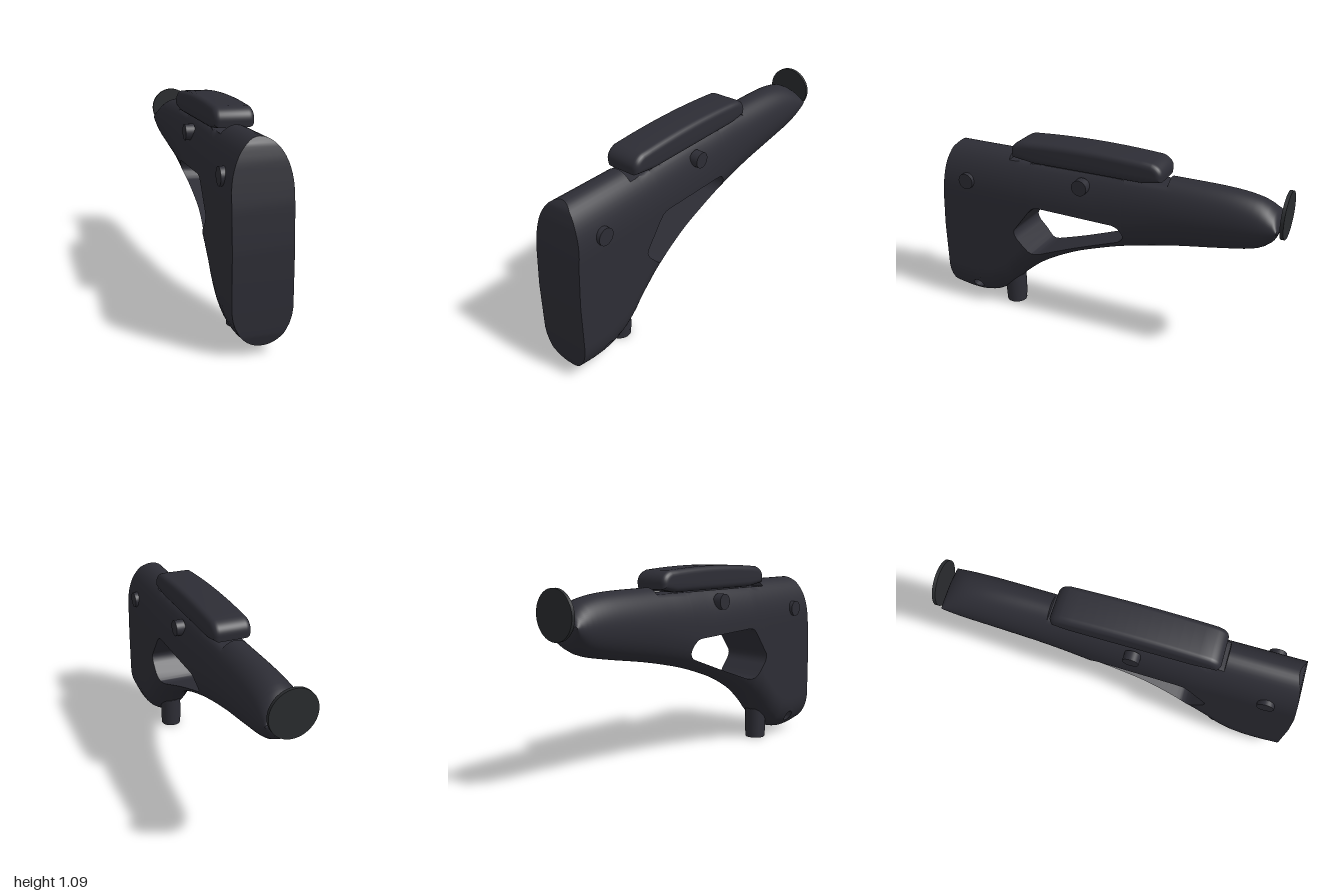
import * as THREE from 'three';
import { toCreasedNormals } from 'three/addons/utils/BufferGeometryUtils.js';

// Interpolate [key, value] pairs, straight or smoothly
function curve(points, smooth) {
  const p = points.slice().sort((a, b) => a[0] - b[0]);
  const slope = (a, b) => (b[1] - a[1]) / (b[0] - a[0]);
  const n = p.length - 1;
  return (k) => {
    if (k <= p[0][0]) return p[0][1];
    if (k >= p[n][0]) return p[n][1];
    let i = 0;
    while (k > p[i + 1][0]) i++;
    const a = p[i], b = p[i + 1], h = b[0] - a[0], t = (k - a[0]) / h;
    if (!smooth) return a[1] + (b[1] - a[1]) * t;
    const ma = slope(p[Math.max(i - 1, 0)], b) * h, mb = slope(a, p[Math.min(i + 2, n)]) * h;
    const t2 = t * t, t3 = t2 * t;
    return (2 * t3 - 3 * t2 + 1) * a[1] + (t3 - 2 * t2 + t) * ma + (3 * t2 - 2 * t3) * b[1] + (t3 - t2) * mb;
  };
}

// Side outline of the stock, keyed by z
const top = curve([[1, 1], [-0.2, 0.996], [-0.38, 0.992], [-0.7, 0.985], [-0.85, 0.963], [-0.92, 0.93], [-0.955, 0.895], [-0.968, 0.86]], true);
const bottom = curve([[-0.968, 0.82], [-0.955, 0.775], [-0.92, 0.73], [-0.85, 0.69], [-0.7, 0.656], [-0.4, 0.602], [-0.15, 0.545],
  [0, 0.5], [0.2, 0.425], [0.4, 0.315], [0.55, 0.19], [0.62, 0.115], [0.7, 0.058], [0.8, 0.031], [0.9, 0.031], [1, 0.045]], true);
const width = curve([[1, 0.145], [0.4, 0.143], [-0.3, 0.125], [-1, 0.124]]);
// Slant of the butt face, keyed by y
const buttZ = curve([[0.02, 0.968], [0.05, 0.985], [0.1, 0.997], [0.2, 1], [0.5, 1], [0.7, 0.988], [0.9, 0.962], [0.97, 0.945], [1, 0.92]]);
// Upper and lower edges of the large opening; they meet outside it
const highPts = [[0.52, 0.54], [0.515, 0.556], [0.42, 0.68], [0.395, 0.707], [0.375, 0.717], [0.35, 0.72], [-0.09, 0.705],
  [-0.115, 0.698], [-0.135, 0.68], [-0.147, 0.66], [-0.15, 0.645]];
const lowPts = [[0.52, 0.54], [0.515, 0.52], [0.505, 0.502], [0.435, 0.428], [0.415, 0.414], [0.39, 0.411], [0.36, 0.418],
  [-0.11, 0.59], [-0.135, 0.608], [-0.147, 0.628], [-0.15, 0.645]];
const ends = [[1, 0.54], [-0.968, 0.84]];
const high = curve([...highPts, ...ends]), low = curve([...lowPts, ...ends]);
// Small round sling hole near the toe
const SLING = { z: 0.815, y: 0.11, r: 0.032 };
function sling(z, sign) {
  const d = SLING.r ** 2 - (z - SLING.z) ** 2;
  if (d > 1e-9) return SLING.y + sign * Math.sqrt(d);
  return z >= 0.7 ? SLING.y : bottom(z) + 0.16 * (low(z) - bottom(z));
}
const NOTCH = { from: -0.38, to: 0.56, y: 0.957 };

// Half width of the rounded section at height y
function halfWidth(z, y) {
  const t = top(z), b = bottom(z), h = t - b;
  const round = (d, r) => Math.sqrt(Math.max(0, 1 - Math.max(0, 1 - d / r) ** 2));
  return width(z) * Math.min(round(t - y, Math.min(0.25, h / 2)), round(y - b, Math.min(0.19, h / 2)));
}

function surfacePoint(z, y) {
  const x = halfWidth(z, y);
  const inNotch = z > NOTCH.from && z < NOTCH.to;
  const k = Math.max(0, (z - 0.86) / 0.14);
  return [x, inNotch ? Math.min(y, NOTCH.y) : y, k > 0 ? 0.86 + k * (buttZ(y) - 0.86) : z];
}

function stockGeometry() {
  const S = 10; // worked at a larger scale so that fine edges weld correctly
  const zs = [...highPts, ...lowPts].map((p) => p[0]);
  for (let z = -0.94; z < 1; z += 0.035) zs.push(z);
  for (let i = 0; i <= 12; i++) zs.push(SLING.z + SLING.r * Math.cos((i * Math.PI) / 12));
  for (const e of [NOTCH.from, NOTCH.to]) zs.push(e - 0.0005, e + 0.0005);
  zs.push(-0.968, -0.962, -0.955, -0.948, 1);
  const stations = zs.sort((a, b) => a - b).filter((z, i, all) => i === 0 || z - all[i - 1] > 1e-5);

  const pos = [], A = new THREE.Vector3(), B = new THREE.Vector3(), C = new THREE.Vector3();
  const tri = (a, b, c) => {
    A.set(...a); B.set(...b).sub(A); C.set(...c).sub(A);
    if (B.cross(C).length() > 1e-9) pos.push(...a, ...b, ...c);
  };
  const quad = (a, b, c, d) => { tri(a, b, c); tri(a, c, d); };
  const flip = ([x, y, z]) => [-x, y, z];

  // Three bands stacked between the outline and the two openings
  const bands = [
    { lo: bottom, hi: (z) => sling(z, -1), n: 9, ease: (t) => 1 - Math.cos((t * Math.PI) / 2) },
    { lo: (z) => sling(z, 1), hi: low, n: 12, ease: (t) => t },
    { lo: high, hi: top, n: 18, ease: (t) => Math.sin((t * Math.PI) / 2) },
  ];
  for (const { lo, hi, n, ease } of bands) {
    const rows = stations.map((z) => Array.from({ length: n + 1 }, (_, j) =>
      surfacePoint(z, lo(z) + (hi(z) - lo(z)) * ease(j / n))));
    const last = rows.length - 1;
    for (let j = 0; j < n; j++) {
      for (let i = 0; i < last; i++) {
        const q = [rows[i][j], rows[i][j + 1], rows[i + 1][j + 1], rows[i + 1][j]];
        quad(...q);
        quad(...q.map(flip).reverse());
      }
      // butt face and nose end
      const f = rows[last], g = rows[0];
      quad(flip(f[j]), f[j], f[j + 1], flip(f[j + 1]));
      quad(g[j], flip(g[j]), flip(g[j + 1]), g[j + 1]);
    }
  }
  // Inner walls of the openings
  const openings = [[low, high], [(z) => sling(z, -1), (z) => sling(z, 1)]];
  for (const [lo, hi] of openings) {
    for (let i = 0; i < stations.length - 1; i++) {
      const a = stations[i], b = stations[i + 1];
      if (Math.max(hi(a) - lo(a), hi(b) - lo(b)) < 1e-4) continue;
      const wall = (f) => {
        const p = surfacePoint(a, f(a)), q = surfacePoint(b, f(b));
        return [flip(p), flip(q), q, p];
      };
      quad(...wall(lo));
      quad(...wall(hi).reverse());
    }
  }
  const g = new THREE.BufferGeometry();
  g.setAttribute('position', new THREE.Float32BufferAttribute(pos.map((v) => v * S), 3));
  return toCreasedNormals(g, 0.7).scale(1 / S, 1 / S, 1 / S);
}

// Cheek rest: side outline extruded across x with soft edges
function cheekGeometry() {
  const b = 0.032;
  const s = new THREE.Shape();
  s.moveTo(0.40, 0.962 + b);
  s.lineTo(-0.25, 0.962 + b);
  s.lineTo(-0.325, 1.008);
  s.quadraticCurveTo(-0.33, 1.035, -0.29, 1.047);
  s.quadraticCurveTo(0.09, 1.077, 0.47, 1.047);
  s.quadraticCurveTo(0.51, 1.035, 0.505, 1.008);
  s.closePath();
  const g = new THREE.ExtrudeGeometry(s, { depth: 0.21 - 2 * b, bevelSize: b, bevelThickness: b, bevelSegments: 6, curveSegments: 14 });
  g.translate(0, 0, -0.105 + b).rotateY(-Math.PI / 2);
  return toCreasedNormals(g.scale(10, 10, 10), 0.6).scale(0.1, 0.1, 0.1);
}

export function createModel() {
  const model = new THREE.Group();
  const body = new THREE.MeshStandardMaterial({ color: 0x2d2d35 });
  body.name = 'charcoal polymer';
  const plate = new THREE.MeshStandardMaterial({ color: 0x292b2e });
  plate.name = 'dark metal';
  const add = (name, geometry, material, x = 0, y = 0, z = 0) => {
    const m = new THREE.Mesh(geometry, material);
    m.name = name;
    m.position.set(x, y, z);
    model.add(m);
    return m;
  };

  add('stockBody', stockGeometry(), body);
  add('cheekRest', cheekGeometry(), body);
  // Posts that carry the cheek rest
  for (const z of [0.33, -0.165]) add('cheekPost', new THREE.BoxGeometry(0.08, 0.06, 0.05), body, 0, 0.96, z);
  // Round buttons on both sides
  for (const side of [1, -1]) {
    add('rearButton', new THREE.CylinderGeometry(0.046, 0.046, 0.05, 32), body, side * 0.134, 0.807, 0.815).rotation.z = Math.PI / 2;
    add('cheekButton', new THREE.CylinderGeometry(0.044, 0.044, 0.05, 32), body, side * 0.126, 0.895, 0.09).rotation.z = Math.PI / 2;
  }
  // Peg under the toe with its collar
  add('peg', new THREE.CylinderGeometry(0.06, 0.06, 0.24, 32), body, 0, 0.12, 0.614);
  add('pegCollar', new THREE.CylinderGeometry(0.063, 0.063, 0.15, 32), body, 0, 0.11, 0.613);
  // Round plate beyond the nose
  add('endPlate', new THREE.CylinderGeometry(0.125, 0.125, 0.018, 48), plate, 0, 0.895, -0.991).rotation.x = Math.PI / 2;
  return model;
}
